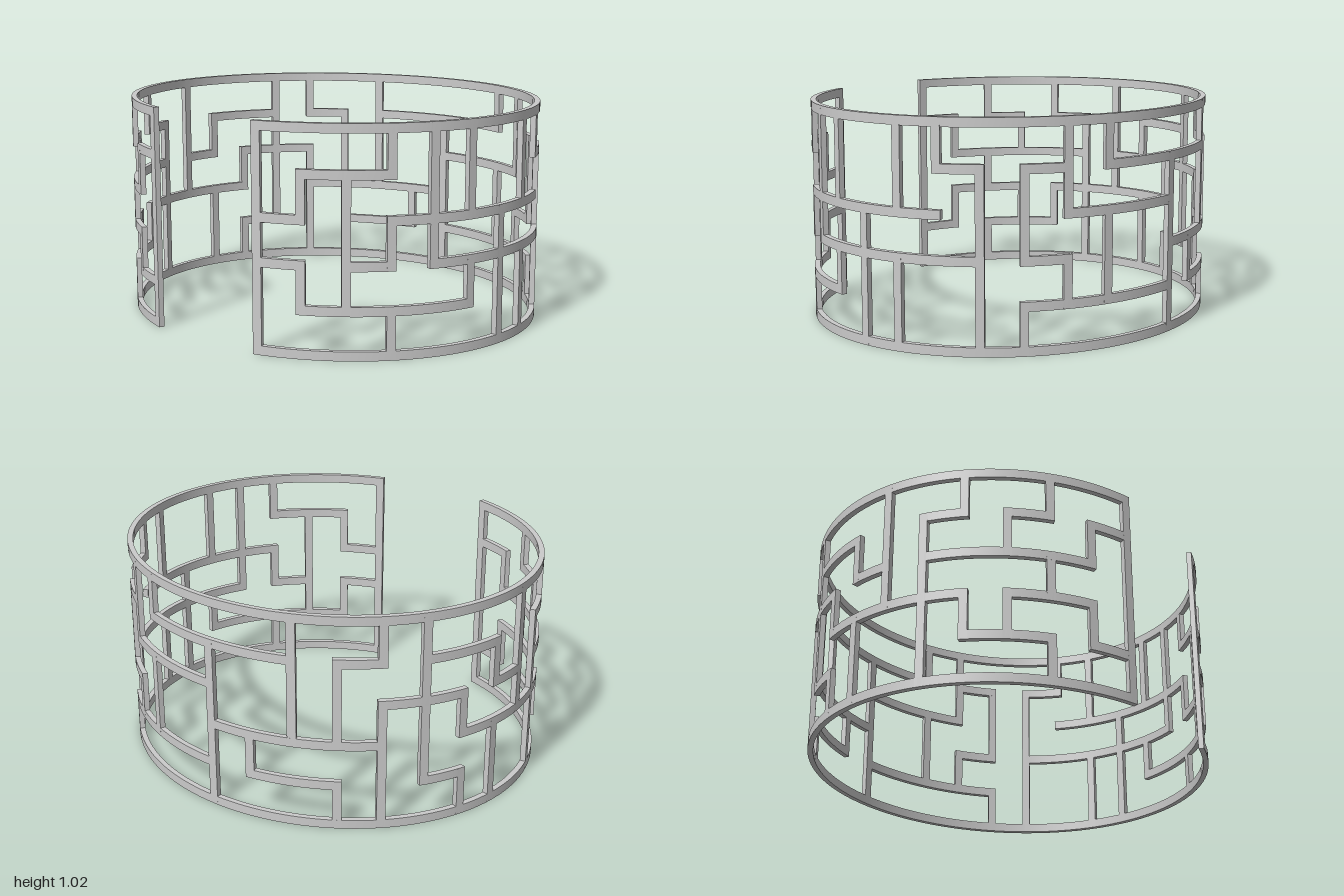
import * as THREE from 'three';

// The cuff is a lattice of 28 columns and 5 rows wrapped round an open ellipse.
const START = 0.277, STEP = 0.2012, COLUMNS = 28;
const ROW = 0.195, BAR = 0.042, THICK = 0.027;
const DEPTH_SCALE = 0.9, Z_SHIFT = 0.015;

// Horizontal rails per row line: [from column, to column]
const RAILS = {
  1: [[1, 5], [10, 14], [15, 17], [19, 20], [24, 26], [27, 28]],
  2: [[0, 1], [2, 3], [4, 9], [10, 11], [14, 18], [20, 24], [25, 27]],
  3: [[0, 1], [3, 8], [11, 14], [18, 20], [21, 22], [23, 27]],
  4: [[1, 3], [8, 9], [10, 11], [12, 16], [17, 18], [19, 21], [23, 24], [25, 26], [27, 28]],
};

// Uprights per column line: [from row, to row]
const POSTS = {
  0: [[0, 5]], 1: [[1, 2], [3, 4]], 2: [[1, 4]], 3: [[0, 1], [2, 3], [4, 5]],
  4: [[2, 5]], 5: [[1, 2], [3, 5]], 6: [[0, 3]], 7: [[0, 2], [3, 5]],
  8: [[4, 5]], 9: [[0, 4]], 10: [[0, 1], [2, 4]], 11: [[1, 2], [3, 5]],
  12: [[1, 3], [4, 5]], 14: [[0, 4]], 15: [[1, 2]], 16: [[2, 5]],
  17: [[0, 1], [2, 4]], 18: [[0, 3], [4, 5]], 19: [[1, 5]],
  20: [[0, 1], [2, 3]], 21: [[0, 2], [3, 4]], 22: [[2, 5]], 23: [[0, 4]],
  24: [[1, 2], [4, 5]], 25: [[1, 2], [3, 4]], 26: [[0, 1], [2, 3], [4, 5]],
  27: [[1, 2], [3, 4]], 28: [[0, 5]],
};

const material = new THREE.MeshStandardMaterial({ color: 0xcccccc });

// A box spanning lattice columns c0..c1 and rows r0..r1, bent round the ellipse
function bentBar(name, c0, c1, r0, r1) {
  const angle = (c1 - c0) * STEP + BAR;
  const height = (r1 - r0) * ROW + BAR;
  const segments = Math.max(1, Math.round((c1 - c0) * 5));
  const geometry = new THREE.BoxGeometry(angle, height, THICK, segments, 1, 1);
  const midAngle = START + STEP * (c0 + c1) / 2;
  const p = geometry.attributes.position;
  for (let i = 0; i < p.count; i++) {
    const theta = midAngle + p.getX(i);
    const radius = 1 - THICK / 2 + p.getZ(i);
    p.setXYZ(
      i,
      radius * Math.sin(theta),
      r0 * ROW + height / 2 + p.getY(i),
      Z_SHIFT + DEPTH_SCALE * radius * Math.cos(theta),
    );
  }
  geometry.computeVertexNormals();
  const mesh = new THREE.Mesh(geometry, material);
  mesh.name = name;
  return mesh;
}

export function createModel() {
  const cuff = new THREE.Group();
  cuff.name = 'openCuffBracelet';

  // Rims
  cuff.add(bentBar('bottomRim', 0, COLUMNS, 0, 0));
  cuff.add(bentBar('topRim', 0, COLUMNS, 5, 5));

  // Lattice rails
  const rails = new THREE.Group();
  rails.name = 'latticeRails';
  for (const [row, spans] of Object.entries(RAILS)) {
    for (const [from, to] of spans) rails.add(bentBar('rail', from, to, +row, +row));
  }

  // Lattice uprights, including the two end bars
  const posts = new THREE.Group();
  posts.name = 'latticeUprights';
  for (const [column, spans] of Object.entries(POSTS)) {
    const name = +column % COLUMNS === 0 ? 'endBar' : 'upright';
    for (const [from, to] of spans) posts.add(bentBar(name, +column, +column, from, to));
  }

  cuff.add(rails, posts);
  return cuff;
}
